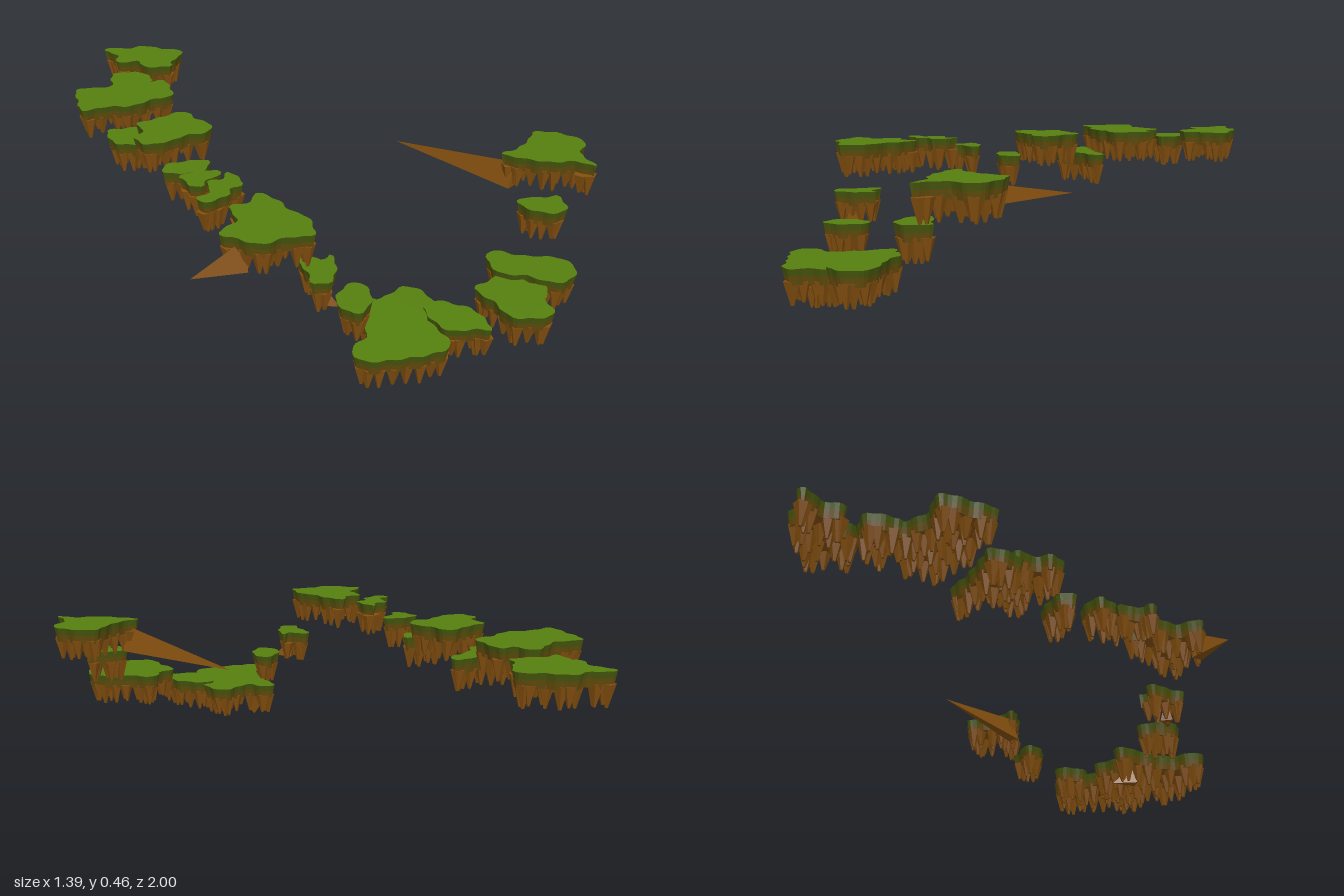
import * as THREE from 'three';
import { mergeGeometries } from 'three/addons/utils/BufferGeometryUtils.js';

const flat = (color) => new THREE.MeshStandardMaterial({ color, flatShading: true });
const grass = new THREE.MeshStandardMaterial({ color: 0x55800f });
const turf = flat(0x46560c);
const soil = flat(0x624c0c);
const rock = flat(0x85500f);
const DEPTH = 0.115;

// Closed loft between rings of [x, y, z] points, running clockwise from above
function loft(upper, lower) {
  const n = upper.length, index = [];
  for (let i = 0; i < n; i++) {
    const j = (i + 1) % n;
    index.push(i, j, n + i, j, n + j, n + i);
  }
  const g = new THREE.BufferGeometry();
  g.setAttribute('position', new THREE.Float32BufferAttribute([...upper, ...lower].flat(), 3));
  g.setIndex(index);
  g.computeVertexNormals();
  return g;
}

// Smooth closed coast through a few points (hundredths), with small lobes
function coast(keys) {
  const pts = [];
  for (let i = 0; i < keys.length; i += 2) pts.push(new THREE.Vector3(keys[i] / 100, 0, keys[i + 1] / 100));
  const curve = new THREE.CatmullRomCurve3(pts, true, 'catmullrom', 0.45);
  const len = curve.getLength();
  const lobes = Math.round(len / 0.07);
  const n = Math.max(24, Math.round(len / 0.014));
  return Array.from({ length: n }, (_, i) => {
    const p = curve.getPointAt(i / n), t = curve.getTangentAt(i / n);
    const out = new THREE.Vector2(t.z, -t.x);
    const r = 0.004 * Math.sin((i / n) * lobes * Math.PI * 2);
    return { x: p.x + out.x * r, z: p.z + out.y * r, out };
  });
}

function inside(x, z, ring) {
  let hit = false;
  ring.forEach((a, i) => {
    const b = ring[(i + 1) % ring.length];
    if ((a.z > z) !== (b.z > z) && x < a.x + ((z - a.z) * (b.x - a.x)) / (b.z - a.z)) hit = !hit;
  });
  return hit;
}

function cap(ring, inset, y, up) {
  const shape = new THREE.Shape(ring.map((p) => new THREE.Vector2(p.x - p.out.x * inset, -(p.z - p.out.y * inset))));
  const g = new THREE.ShapeGeometry(shape);
  g.rotateX(-Math.PI / 2);
  if (!up) {
    const ix = g.index.array;
    for (let i = 0; i < ix.length; i += 3) [ix[i], ix[i + 1]] = [ix[i + 1], ix[i]];
    g.computeVertexNormals();
  }
  return g.translate(0, y, 0);
}

// Blunt rock fang hanging from the underside
function fang(x, z, top, i) {
  const h = 0.075 - 0.008 * (i % 3 === 1);
  const g = new THREE.CylinderGeometry(0.025, 0.005, h, 5);
  g.rotateY(i * 1.7);
  return g.translate(x, top - DEPTH + 0.075 - h / 2, z);
}

function island(name, top, keys) {
  const group = new THREE.Group();
  group.name = name;
  const ring = coast(keys);
  const level = (inset, drop) => ring.map((p) => [p.x - p.out.x * inset, top - drop, p.z - p.out.y * inset]);
  const add = (part, g, m) => {
    const mesh = new THREE.Mesh(g, m);
    mesh.name = part;
    group.add(mesh);
  };
  add('grassTop', cap(ring, 0, top, true), grass);
  add('turfEdge', loft(level(0, 0), level(0.004, 0.022)), turf);
  add('soilEdge', loft(level(0.004, 0.022), level(0.009, 0.05)), soil);
  add('underside', cap(ring, 0.009, top - 0.05, false), rock);

  // Fangs follow the coast, then fill the middle in staggered rows
  const fangs = [];
  const step = 3;
  for (let i = 0; i < ring.length - 1; i += step) {
    const p = ring[i], x = p.x - p.out.x * 0.027, z = p.z - p.out.y * 0.027;
    if (inside(x, z, ring)) fangs.push(fang(x, z, top, i / step));
  }
  const box = new THREE.Box2().setFromPoints(ring.map((p) => new THREE.Vector2(p.x, p.z)));
  let row = 0;
  for (let z = box.min.y + 0.03; z < box.max.y; z += 0.045, row++) {
    for (let x = box.min.x + 0.03 + (row % 2) * 0.025; x < box.max.x; x += 0.05) {
      const clear = ring.every((p) => Math.hypot(p.x - x, p.z - z) > 0.045);
      if (clear && inside(x, z, ring)) fangs.push(fang(x, z, top, row + fangs.length));
    }
  }
  add('rockFangs', mergeGeometries(fangs), rock);
  return group;
}

// Long sideways spike with a level lower edge: tip, root and root height
function spike(tip, root, height) {
  const a = new THREE.Vector3(...tip), b = new THREE.Vector3(...root);
  const side = new THREE.Vector3(b.z - a.z, 0, a.x - b.x).normalize().multiplyScalar(0.022);
  const l = b.clone().add(side), r = b.clone().sub(side);
  const t = b.clone().setY(b.y + height);
  const g = new THREE.BufferGeometry().setFromPoints([a, l, t, a, t, r, a, r, l, l, r, t]);
  g.computeVertexNormals();
  const mesh = new THREE.Mesh(g, new THREE.MeshStandardMaterial({ color: 0x85500f, flatShading: true, side: THREE.DoubleSide }));
  mesh.name = 'sideSpike';
  return mesh;
}

export function createModel() {
  const model = new THREE.Group();
  model.name = 'floatingIslands';
  model.add(
    // Far end of the chain
    island('endIsland', 0.46, [-29, -99, -25, -100, -21, -96, -14, -95, -9, -88, -4, -83, -7, -78, -12, -75, -15, -71, -23, -75, -23, -82, -30, -85, -27, -92]),
    island('endStep', 0.435, [-34, -81, -29, -80, -24, -76, -24, -68, -29, -67, -32, -70, -38, -71, -37, -76]),
    island('backIsland', 0.46, [-54, -69, -49, -69, -43, -66, -30, -69, -28, -62, -23, -60, -24, -54, -27, -46, -34, -47, -43, -46, -50, -50, -59, -52, -57, -60]),
    island('lowBackIsland', 0.38, [-52, -48, -45, -46, -33, -42, -26, -41, -26, -36, -36, -35, -43, -31, -49, -33, -54, -38]),
    island('middleIsland', 0.46, [-48, -32, -40, -32, -30, -32, -29, -24, -27, -18, -31, -13, -38, -15, -44, -14, -52, -16, -53, -23, -48, -26]),
    // Stepping stones along the right side
    island('lowStone', 0.385, [-47, -13, -39, -11, -34, -8, -37, -3, -42, -3, -48, -6, -50, -9]),
    island('middleStone', 0.425, [-51, 4, -46, 3, -39, 6, -39, 10, -44, 10, -47, 13, -51, 11, -50, 8]),
    island('highStone', 0.46, [-48, 17, -43, 18, -39, 15, -39, 24, -44, 25, -47, 28, -55, 28, -55, 24, -50, 23]),
    island('cornerIsland', 0.46, [-50, 34, -43, 35, -39, 31, -36, 38, -36, 46, -34, 52, -38, 61, -45, 58, -53, 57, -57, 51, -60, 45, -52, 42]),
    // Steps down to the large low island
    island('upperStep', 0.305, [-36, 49, -32, 48, -30, 53, -26, 52, -28, 58, -34, 64, -39, 62, -37, 56]),
    island('lowerStep', 0.212, [-24, 57, -19, 58, -20, 65, -25, 70, -30, 70, -31, 62]),
    island('mainIsland', 0.116, [-19, 50, -14, 50, -11, 57, 0, 56, 3, 62, 1, 70, -5, 74, -7, 87, -14, 88, -23, 85, -33, 80, -33, 73, -25, 70, -22, 62, -20, 56]),
    island('mainSideIsland', 0.124, [-3, 69, 2, 68, 6, 73, 9, 79, 7, 89, 2, 86, -4, 83, -5, 76]),
    // Climb up the left side
    island('frontIsland', 0.18, [11, 76, 20, 75, 25, 72, 27, 82, 30, 88, 25, 92, 22, 99, 16, 98, 10, 93, 11, 85]),
    island('frontSideIsland', 0.2, [23, 68, 28, 65, 33, 72, 38, 76, 43, 81, 42, 88, 35, 91, 30, 88, 27, 82, 21, 76]),
    island('leftStep', 0.33, [39, 63, 44, 62, 48, 65, 53, 67, 50, 74, 45, 75, 40, 70]),
    island('leftIsland', 0.46, [40, 53, 47, 53, 55, 50, 60, 47, 66, 52, 69, 61, 64, 65, 61, 67, 59, 76, 56, 70, 49, 66, 44, 60]),
    // Stray spikes
    spike([-0.7, 0.345, 0.46], [-0.54, 0.345, 0.5], 0.1),
    spike([0.32, 0.345, 0.09], [0.43, 0.345, 0.56], 0.09),
    spike([-0.11, 0.005, 0.53], [-0.16, 0.005, 0.6], 0.08),
    spike([-0.3, 0.195, 0.63], [-0.34, 0.195, 0.57], 0.08),
  );
  return model;
}
